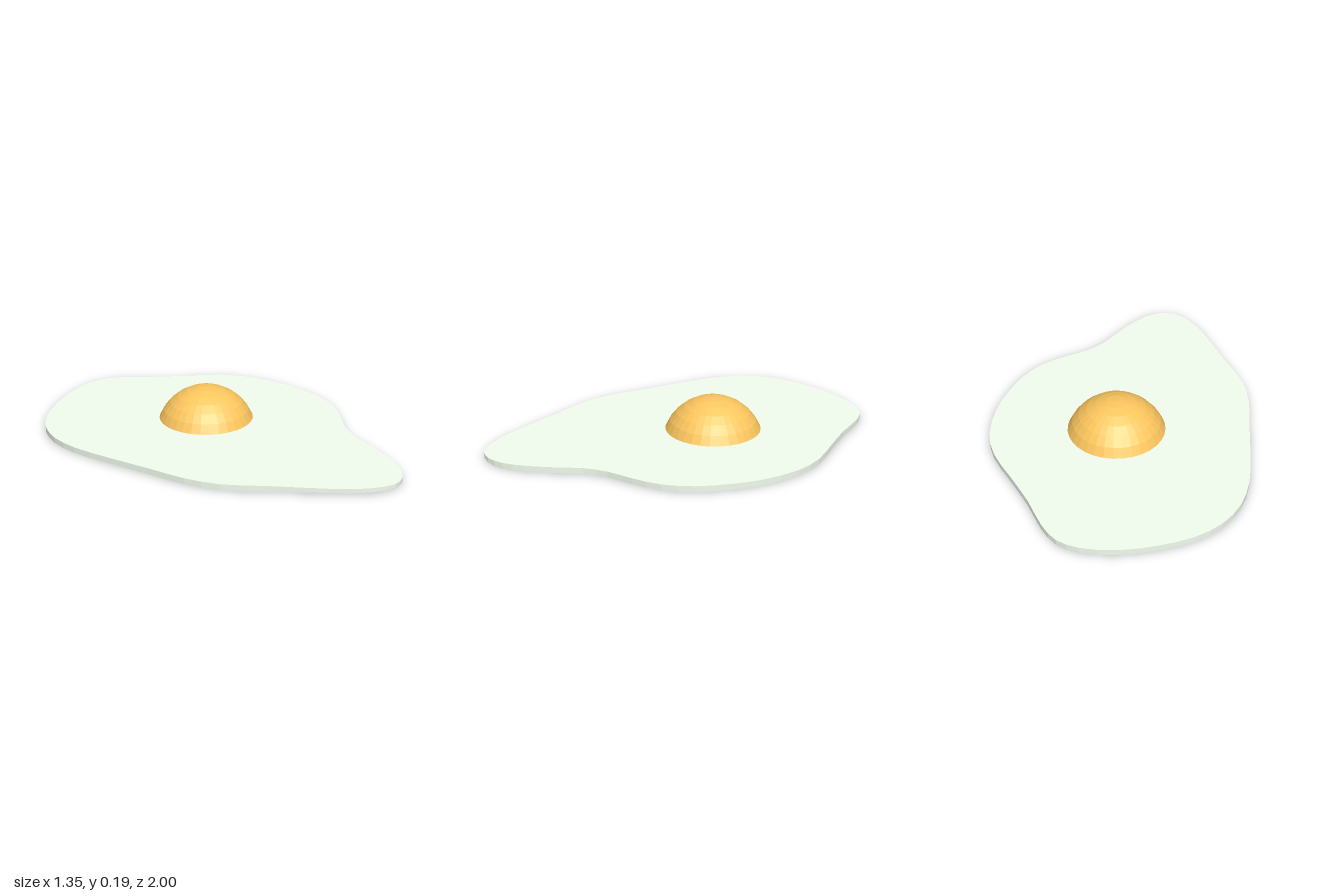
import * as THREE from 'three';

// Outline of the egg white seen from above, as [x, z] points
const OUTLINE = [
  [-0.03, -1], [0.08, -0.98], [0.17, -0.91], [0.28, -0.78], [0.42, -0.64], [0.55, -0.51],
  [0.63, -0.37], [0.672, -0.17], [0.67, -0.03], [0.643, 0.14], [0.58, 0.28], [0.48, 0.39],
  [0.38, 0.48], [0.31, 0.58], [0.26, 0.71], [0.2, 0.84], [0.14, 0.93], [0.06, 0.99],
  [-0.02, 1], [-0.11, 0.95], [-0.2, 0.86], [-0.3, 0.72], [-0.4, 0.57], [-0.52, 0.4],
  [-0.58, 0.23], [-0.61, 0.04], [-0.65, -0.2], [-0.674, -0.4], [-0.66, -0.56],
  [-0.6, -0.7], [-0.5, -0.81], [-0.36, -0.9], [-0.2, -0.97],
];
const THICKNESS = 0.03;

// Thin shell, open underneath: a flat top and a rim wall
function makeEggWhite() {
  const curve = new THREE.CatmullRomCurve3(
    OUTLINE.map(([x, z]) => new THREE.Vector3(x, THICKNESS, z)), true);
  const points = curve.getPoints(OUTLINE.length * 2).slice(0, -1);
  const material = new THREE.MeshStandardMaterial({
    color: 0xf3fdef, flatShading: true, side: THREE.DoubleSide,
  });

  const shape = new THREE.Shape(points.map((p) => new THREE.Vector2(p.x, -p.z)));
  const topGeometry = new THREE.ShapeGeometry(shape);
  topGeometry.rotateX(-Math.PI / 2);
  topGeometry.translate(0, THICKNESS, 0);
  const top = new THREE.Mesh(topGeometry, material);
  top.name = 'whiteTop';

  // The lower edge of the rim lifts slightly around the narrow front tip
  const positions = [], indices = [];
  points.forEach((p, i) => {
    const lift = 0.009 * THREE.MathUtils.smoothstep(p.z - 0.8 * p.x, 0.87, 1);
    positions.push(p.x, THICKNESS, p.z, p.x, lift, p.z);
    const a = i * 2, b = ((i + 1) % points.length) * 2;
    indices.push(a, b, a + 1, b, b + 1, a + 1);
  });
  const rimGeometry = new THREE.BufferGeometry();
  rimGeometry.setAttribute('position', new THREE.Float32BufferAttribute(positions, 3));
  rimGeometry.setIndex(indices);
  rimGeometry.computeVertexNormals();
  const rim = new THREE.Mesh(rimGeometry, material);
  rim.name = 'whiteRim';

  const white = new THREE.Group();
  white.name = 'eggWhite';
  white.add(top, rim);
  return white;
}

// Spherical cap resting on the white
function makeYolk() {
  const baseRadius = 0.246, height = 0.165;
  const radius = (baseRadius ** 2 + height ** 2) / (2 * height);
  const angle = Math.acos((radius - height) / radius);
  const geometry = new THREE.SphereGeometry(radius, 32, 6, 0, Math.PI * 2, 0, angle);
  const mesh = new THREE.Mesh(geometry,
    new THREE.MeshStandardMaterial({ color: 0xfcc65e, flatShading: true }));
  mesh.position.set(0.032, THICKNESS + height - radius, -0.158);
  mesh.name = 'yolk';
  return mesh;
}

export function createModel() {
  const group = new THREE.Group();
  group.name = 'friedEgg';
  group.add(makeEggWhite(), makeYolk());
  return group;
}
